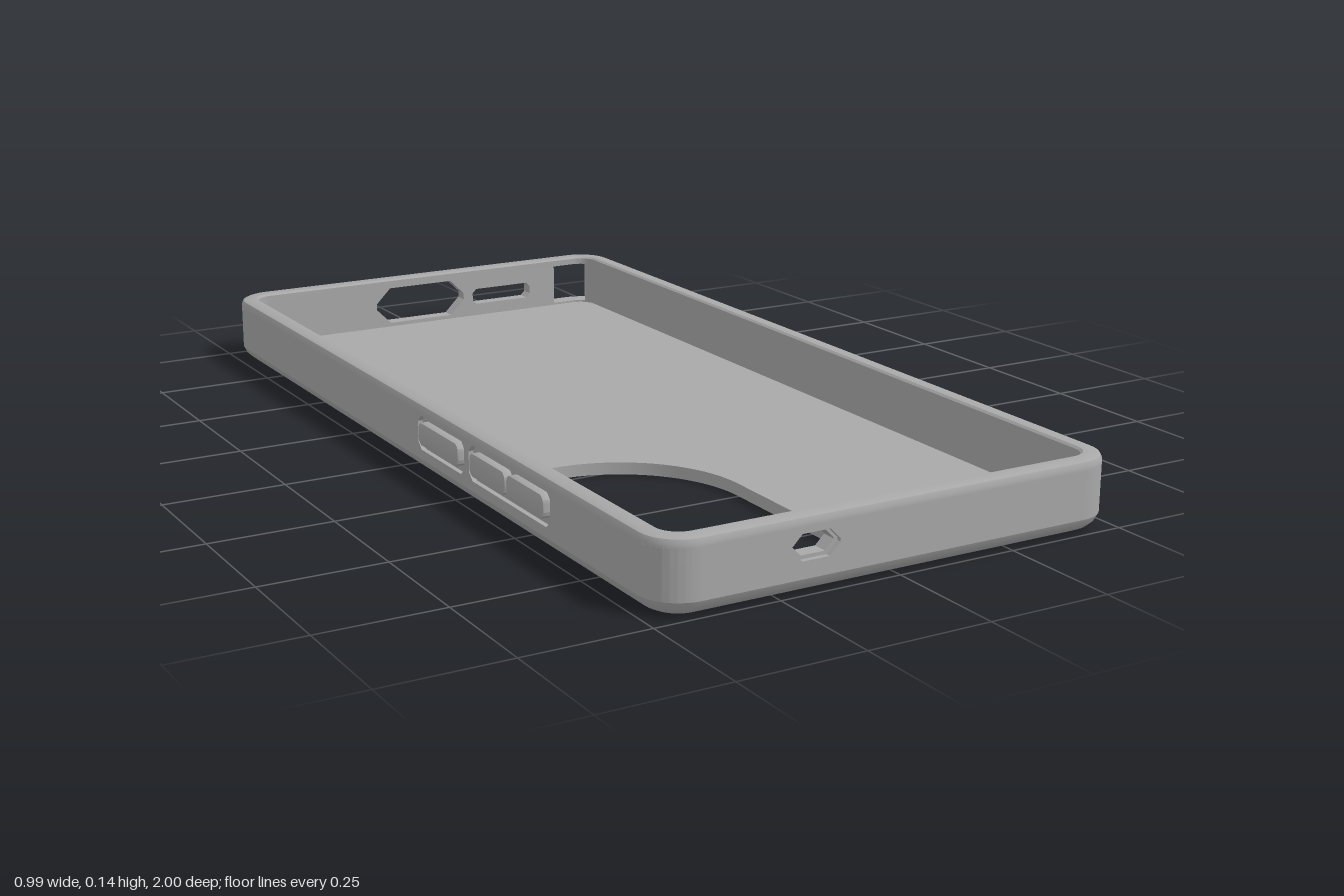
import * as THREE from 'three';
import { toCreasedNormals } from 'three/addons/utils/BufferGeometryUtils.js';

const HW = 0.49, HD = 1, R = 0.08, T = 0.04;   // half width, half depth, corner radius, wall
const LOW = 0.03, HIGH = 0.125;                // middle band of the wall
const SKIN = 0.01;                             // outer layer, cut wider around openings

const grey = new THREE.MeshStandardMaterial({ color: 0xa8a8a8 });
grey.name = 'caseGrey';

function add(parent, name, geometry) {
  const mesh = new THREE.Mesh(toCreasedNormals(geometry, 0.6), grey);
  mesh.name = name;
  parent.add(mesh);
  return mesh;
}

// Rounded rectangle, radii in order: low-left, low-right, high-right, high-left
function roundRect(path, x0, x1, y0, y1, [a, b, c, d]) {
  path.absarc(x0 + a, y0 + a, a, Math.PI, Math.PI * 1.5);
  path.absarc(x1 - b, y0 + b, b, Math.PI * 1.5, Math.PI * 2);
  path.absarc(x1 - c, y1 - c, c, 0, Math.PI / 2);
  path.absarc(x0 + d, y1 - d, d, Math.PI / 2, Math.PI);
  path.closePath();
  return path;
}

// Rectangle with cut corners
function cutRect([u0, u1, y0, y1, c]) {
  return new THREE.Path([[u0 + c, y0], [u1 - c, y0], [u1, y0 + c], [u1, y1 - c],
    [u1 - c, y1], [u0 + c, y1], [u0, y1 - c], [u0, y0 + c], [u0 + c, y0]]
    .map(([u, y]) => new THREE.Vector2(u, y)));
}

const extrude = (shape, depth, extra = {}) =>
  new THREE.ExtrudeGeometry(shape, { depth, bevelEnabled: false, curveSegments: 14, ...extra });

// Sweep a closed [inset, y] profile round the case outline
function ring(profile) {
  const steps = 10, pos = [], index = [], n = profile.length, count = 4 * (steps + 1);
  for (let k = 0; k < 4; k++) {
    const sx = k === 0 || k === 3 ? 1 : -1, sz = k < 2 ? -1 : 1;
    for (let s = 0; s <= steps; s++) {
      const a = (k + s / steps) * Math.PI / 2;
      for (const [inset, y] of profile) {
        pos.push(sx * (HW - R) + Math.cos(a) * (R - inset), y,
          sz * (HD - R) - Math.sin(a) * (R - inset));
      }
    }
  }
  for (let i = 0; i < count; i++) {
    for (let j = 0; j < n; j++) {
      const i2 = (i + 1) % count, j2 = (j + 1) % n;
      const a = i * n + j, b = i2 * n + j, c = i2 * n + j2, d = i * n + j2;
      index.push(a, b, c, a, c, d);
    }
  }
  const g = new THREE.BufferGeometry();
  g.setAttribute('position', new THREE.Float32BufferAttribute(pos, 3));
  g.setIndex(index);
  return g;
}

// Straight wall facing +z before turning: inner layer and outer skin, each with openings
function wall(parent, name, turn, dist, u0, u1, inner = [], outer = [], skinStart = u0) {
  const group = new THREE.Group();
  group.name = name;
  group.rotation.y = turn;
  parent.add(group);
  const layer = (label, start, holes, depth, z) => {
    const shape = new THREE.Shape([[start, LOW], [u1, LOW], [u1, HIGH], [start, HIGH]]
      .map(([u, y]) => new THREE.Vector2(u, y)));
    shape.holes = holes.map(cutRect);
    add(group, label, extrude(shape, depth)).position.z = z;
  };
  layer('wallCore', u0, inner, T - SKIN, dist - T);
  layer('wallSkin', skinStart, outer, SKIN, dist - SKIN);
  return group;
}

export function createModel() {
  const model = new THREE.Group();
  model.name = 'phoneCase';
  const body = new THREE.Group();
  body.name = 'caseBody';
  body.position.x = 0.003;
  model.add(body);

  // Back plate with the camera opening
  const w = HW - T, d = HD - T, r = R - T;
  const plate = roundRect(new THREE.Shape(), -w, w, -d, d, [r, r, r, r]);
  plate.holes.push(roundRect(new THREE.Path(), -0.412, -0.018, -0.925, -0.235,
    [0.13, 0.13, 0.26, 0.11]));
  add(body, 'backPlate', extrude(plate, 0.025).rotateX(-Math.PI / 2));

  // Bevelled lower edge and rounded upper rim
  add(body, 'lowerEdge', ring([[0.03, 0], [0.018, 0.006], [0.007, 0.016], [0, LOW],
    [T, LOW], [T, 0]]));
  add(body, 'upperRim', ring([[0, HIGH], [0, 0.132], [0.004, 0.14], [0.011, 0.143],
    [0.035, 0.143], [T, 0.139], [T, HIGH]]));

  // Corner walls; the first one stops early to leave the corner window open
  for (let k = 0; k < 4; k++) {
    const cx = (k === 0 || k === 3 ? 1 : -1) * (HW - R), cy = (k < 2 ? 1 : -1) * (HD - R);
    const a0 = k * Math.PI / 2, a1 = a0 + (k === 0 ? Math.PI / 4 : Math.PI / 2);
    const sector = new THREE.Shape();
    sector.absarc(cx, cy, R, a0, a1, false);
    sector.absarc(cx, cy, R - T, a1, a0, true);
    const g = extrude(sector, HIGH - LOW).rotateX(-Math.PI / 2).translate(0, LOW, 0);
    add(body, 'cornerWall', g);
  }

  // Straight walls with their openings [u0, u1, y0, y1, corner cut]
  const ex = HW - R, ez = HD - R;
  wall(body, 'leftWall', Math.PI / 2, HW, -ez, ez);
  wall(body, 'frontWall', 0, HD, -ex, ex,
    [[-0.226, -0.14, 0.07, 0.108, 0.018]], [[-0.233, -0.133, 0.063, 0.113, 0.022]]);
  wall(body, 'backWall', Math.PI, HD, -0.355, ex,
    [[-0.285, -0.125, 0.054, 0.092, 0.01], [-0.1, 0.135, 0.034, 0.121, 0.036]],
    [[-0.3, -0.115, 0.045, 0.102, 0.016], [-0.106, 0.142, 0.032, 0.123, 0.038]], -0.345);
  const pockets = [[0.055, 0.265, 0.05, 0.121, 0.015], [0.285, 0.615, 0.05, 0.121, 0.015]];
  const side = wall(body, 'buttonWall', -Math.PI / 2, HW, -ez, ez, pockets, pockets);

  // Thin membranes behind the buttons
  for (const [u0, u1, y0, y1] of pockets) {
    add(side, 'buttonMembrane', new THREE.BoxGeometry(u1 - u0, y1 - y0, 0.008))
      .position.set((u0 + u1) / 2, (y0 + y1) / 2, HW - 0.014);
  }

  // Raised side buttons
  for (const [u0, u1] of [[0.07, 0.25], [0.3, 0.448], [0.454, 0.6]]) {
    const q = 0.012, b = 0.003;
    const shape = roundRect(new THREE.Shape(), u0 + b, u1 - b, 0.063 + b, 0.11 - b, [q, q, q, q]);
    const g = extrude(shape, 0.015,
      { bevelEnabled: true, bevelSize: b, bevelThickness: b, bevelSegments: 2 });
    add(side, 'sideButton', g).position.z = HW - 0.011;
  }
  return model;
}
